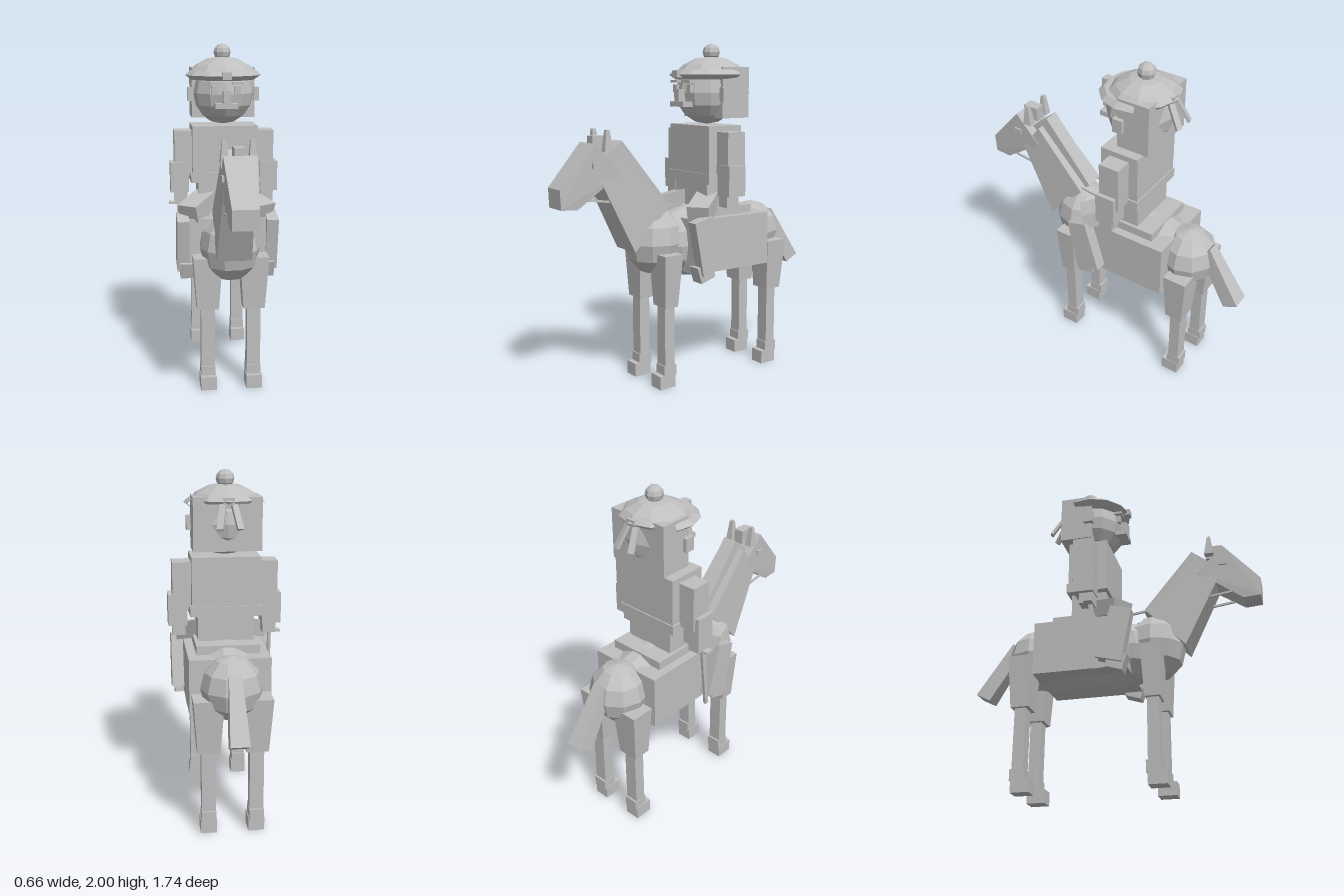
import * as THREE from 'three';
import { ConvexGeometry } from 'three/addons/geometries/ConvexGeometry.js';

export function createModel() {
  const root = new THREE.Group();
  const horse = new THREE.Group(); horse.name = 'horse';
  const rider = new THREE.Group(); rider.name = 'rider';
  root.add(horse, rider);
  const grey = new THREE.MeshStandardMaterial({ color: 0xbfbfbf, flatShading: true });
  grey.name = 'plain grey';

  const add = (parent, name, geometry) => {
    const m = new THREE.Mesh(geometry, grey);
    m.name = name;
    parent.add(m);
    return m;
  };
  // Box given by its lower and upper limits on each axis
  const box = (parent, name, x0, x1, y0, y1, z0, z1) => {
    const m = add(parent, name, new THREE.BoxGeometry(x1 - x0, y1 - y0, z1 - z0));
    m.position.set((x0 + x1) / 2, (y0 + y1) / 2, (z0 + z1) / 2);
    return m;
  };
  // Faceted ellipsoid
  const ball = (parent, name, pos, radii, seg = 10, rings = 6) => {
    const m = add(parent, name, new THREE.SphereGeometry(1, seg, rings));
    m.position.set(...pos);
    m.scale.set(...radii);
    return m;
  };
  // Solid from a side profile of [z, y, half width], centred on x
  const slab = (parent, name, profile, x = 0) => {
    const pts = [];
    for (const [z, y, h] of profile) {
      pts.push(new THREE.Vector3(x - h, y, z), new THREE.Vector3(x + h, y, z));
    }
    return add(parent, name, new ConvexGeometry(pts));
  };
  // Bar running from a to b
  const bar = (parent, name, a, b, w, h) => {
    const A = new THREE.Vector3(...a), B = new THREE.Vector3(...b);
    const m = add(parent, name, new THREE.BoxGeometry(w, h, A.distanceTo(B)));
    m.position.copy(A).lerp(B, 0.5);
    m.lookAt(B);
    return m;
  };

  // Horse trunk
  ball(horse, 'barrel', [0, 0.83, -0.15], [0.2, 0.225, 0.5], 10, 8);
  ball(horse, 'chest', [0, 0.85, 0.225], [0.175, 0.2, 0.18]);
  ball(horse, 'rump', [0, 0.845, -0.51], [0.175, 0.185, 0.17]);
  box(horse, 'saddleBlanket', -0.23, 0.23, 0.67, 0.99, -0.455, 0.1);
  box(horse, 'saddle', -0.18, 0.18, 0.98, 1.04, -0.36, 0.0);

  // Neck, mane, head and tail
  slab(horse, 'neck', [[0.42, 0.82, 0.1], [0.19, 1.06, 0.1], [0.5, 1.395, 0.085], [0.625, 1.235, 0.085]]);
  slab(horse, 'mane', [[0.573, 1.37, 0.045], [0.467, 1.454, 0.045], [0.165, 1.087, 0.045], [0.217, 1.045, 0.045]]);
  slab(horse, 'horseHead', [[0.658, 1.448, 0.09], [0.87, 1.21, 0.07], [0.865, 1.1, 0.07],
    [0.765, 1.093, 0.07], [0.504, 1.278, 0.09]]);
  box(horse, 'forelock', -0.03, 0.03, 1.4, 1.485, 0.55, 0.645);
  slab(horse, 'tail', [[-0.66, 0.965, 0.035], [-0.87, 0.645, 0.053], [-0.785, 0.6, 0.053], [-0.6, 0.9, 0.035]]);

  for (const s of [1, -1]) {
    box(horse, 'horseEye', s * 0.085 - 0.012, s * 0.085 + 0.012, 1.315, 1.345, 0.63, 0.68);
    slab(horse, 'horseEar', [[0.55, 1.4, 0.022], [0.605, 1.4, 0.022], [0.59, 1.52, 0.012], [0.57, 1.52, 0.012]], s * 0.075);
    bar(horse, 'rein', [s * 0.07, 1.14, 0.7], [s * 0.07, 1.06, 0.1], 0.012, 0.012);

    // Horse legs
    for (const [name, z, w] of [['front', 0.235, 0.062], ['hind', -0.54, 0.072]]) {
      const x = s * 0.135;
      slab(horse, name + 'UpperLeg', [[z - w, 0.8, 0.085], [z + w, 0.8, 0.085],
        [z + w - 0.015, 0.49, 0.063], [z - w + 0.022, 0.49, 0.063]], x);
      box(horse, name + 'LowerLeg', x - 0.04, x + 0.04, 0.07, 0.5, z - 0.032, z + 0.035);
      box(horse, name + 'Fetlock', x - 0.042, x + 0.042, 0.07, 0.135, z - 0.043, z + 0.042);
      box(horse, name + 'Hoof', x - 0.046, x + 0.046, 0, 0.08, z - 0.033, z + 0.075);
    }
  }

  // Rider body
  box(rider, 'torso', -0.195, 0.195, 1.2, 1.523, -0.265, -0.027);
  box(rider, 'belt', -0.205, 0.205, 1.185, 1.245, -0.272, -0.02);
  box(rider, 'hips', -0.16, 0.16, 1.0, 1.2, -0.25, -0.04);

  for (const s of [1, -1]) {
    const side = (name, x0, x1, ...r) => box(rider, name, Math.min(s * x0, s * x1), Math.max(s * x0, s * x1), ...r);
    // Arms
    side('upperArm', 0.195, 0.3, 1.22, 1.49, -0.21, -0.085);
    side('forearm', 0.215, 0.325, 1.12, 1.3, -0.195, -0.075);
    side('hand', 0.225, 0.3, 1.055, 1.13, -0.165, -0.08);
    // Legs astride the saddle
    bar(rider, 'thigh', [s * 0.09, 1.09, -0.11], [s * 0.235, 1.02, 0.08], 0.13, 0.1);
    slab(rider, 'shin', [[0.145, 0.985, 0.035], [0.025, 1.02, 0.035], [-0.065, 0.71, 0.035], [0.085, 0.67, 0.035]], s * 0.265);
    slab(rider, 'boot', [[0.115, 0.72, 0.042], [0.0, 0.74, 0.042], [-0.01, 0.655, 0.042], [0.085, 0.625, 0.042]], s * 0.24);
    // Face and ears
    side('ear', 0.18, 0.215, 1.665, 1.745, -0.175, -0.115);
    side('eye', 0.05, 0.085, 1.715, 1.76, -0.02, 0.03);
    side('brow', 0.035, 0.095, 1.77, 1.785, -0.01, 0.04);
    // Ribbons at the back of the cap
    bar(rider, 'ribbon', [s * 0.025, 1.85, -0.345], [s * 0.055, 1.7, -0.43], 0.035, 0.018);
  }

  // Sabre at the right hand
  box(rider, 'sabreGuard', -0.335, -0.23, 1.048, 1.06, -0.13, -0.08);
  bar(rider, 'sabreBlade', [-0.275, 1.05, -0.1], [-0.275, 0.645, -0.06], 0.018, 0.025);

  // Head
  ball(rider, 'riderHead', [0, 1.713, -0.16], [0.188, 0.188, 0.19], 12, 8);
  box(rider, 'hair', -0.19, 0.19, 1.565, 1.86, -0.325, -0.13);
  box(rider, 'nose', -0.022, 0.022, 1.66, 1.735, -0.02, 0.065);
  box(rider, 'moustache', -0.068, 0.068, 1.632, 1.662, -0.02, 0.065);

  // Cap with front visor, badge and pompom
  const v = (x, y) => new THREE.Vector2(x, y);
  const cap = add(rider, 'capCrown', new THREE.LatheGeometry(
    [v(0, 1.825), v(0.19, 1.825), v(0.2, 1.84), v(0.165, 1.875), v(0.09, 1.913), v(0, 1.925)], 10));
  cap.position.z = -0.185;
  const visor = add(rider, 'capVisor', new THREE.LatheGeometry(
    [v(0.1, 1.79), v(0.19, 1.79), v(0.23, 1.818), v(0.2, 1.845), v(0.1, 1.845)], 8, -1.95, 3.9));
  visor.position.z = -0.16;
  box(rider, 'capBadge', -0.026, 0.026, 1.8, 1.84, 0.03, 0.078);
  ball(rider, 'pompom', [0, 1.95, -0.19], [0.052, 0.05, 0.052], 8, 6);
  box(rider, 'ribbonKnot', -0.03, 0.03, 1.825, 1.86, -0.375, -0.32);

  return root;
}
